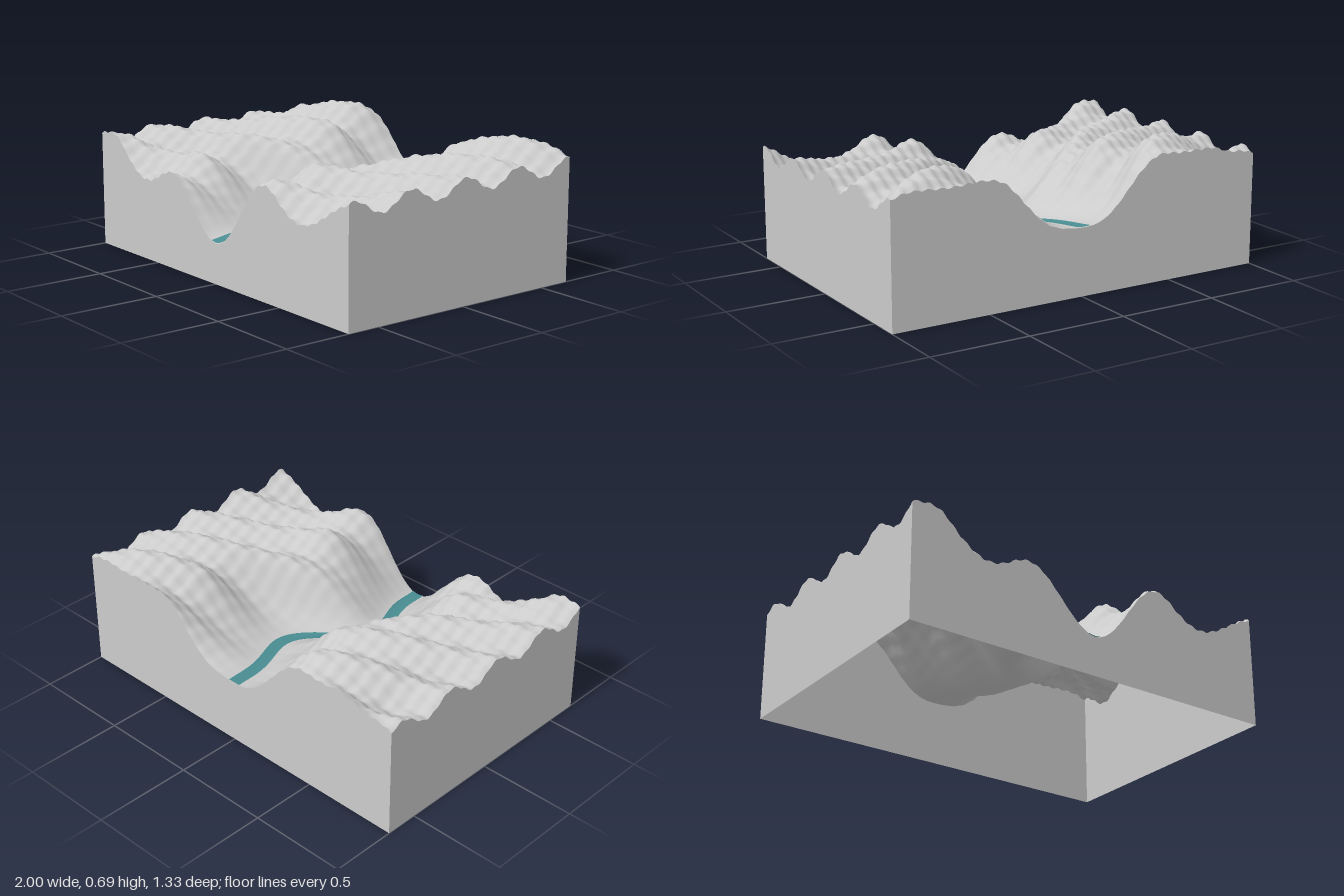
import * as THREE from 'three';

const HX = 1, HZ = 0.667, RIVER_HALF = 0.034;
const smooth = THREE.MathUtils.smoothstep;

// Meandering line of the river
const riverX = (z) => {
  const a = (Math.PI * z) / 0.6;
  return -0.096 * Math.sin(a) - 0.036 * Math.sin(2 * a);
};

// Ground height: sloping valley floor rising to rolling hills crossed by slanting ridges
function height(x, z) {
  const floor = 0.268 - 0.1 * z;
  const rise = smooth(Math.abs(x - riverX(z)), 0, 0.47);
  const t = z / HZ;
  const swell = Math.sin(5 * x - 2) * (1 - smooth(-x, 0.75, 0.95)) * (0.12 * (1 - t * t) - t);
  const ridge = Math.cos((2 * Math.PI * (z + 0.52 * x - 0.185)) / 0.325);
  const ripple = Math.sin(95 * x) + Math.sin(88 * z + 8 * x);
  const hill = 0.553 + 0.108 * swell + 0.038 * ridge + 0.005 * ripple;
  return floor + (hill - floor) * rise;
}

// Sheet whose points are given by fn(u, v): u runs left to right, v top to bottom
function sheet(name, nu, nv, material, fn) {
  const geo = new THREE.PlaneGeometry(1, 1, nu, nv);
  const pos = geo.attributes.position;
  for (let i = 0; i < pos.count; i++) {
    pos.setXYZ(i, ...fn(pos.getX(i) + 0.5, 0.5 - pos.getY(i)));
  }
  geo.computeVertexNormals();
  const mesh = new THREE.Mesh(geo, material);
  mesh.name = name;
  return mesh;
}

export function createModel() {
  const model = new THREE.Group();
  model.name = 'valleyTerrain';
  const ground = new THREE.MeshStandardMaterial({ color: 0xcccccc, side: THREE.DoubleSide });
  const water = new THREE.MeshStandardMaterial({ color: 0x4a8f94, side: THREE.DoubleSide });
  const NX = 150, NZ = 100;

  // Ground surface
  model.add(sheet('terrain', NX, NZ, ground, (u, v) => {
    const x = (2 * u - 1) * HX, z = (2 * v - 1) * HZ;
    return [x, height(x, z), z];
  }));

  // Four side walls under the ground's edge, open underneath
  const walls = [
    ['frontWall', NX, (t) => [t * HX, HZ]],
    ['backWall', NX, (t) => [-t * HX, -HZ]],
    ['leftWall', NZ, (t) => [HX, -t * HZ]],
    ['rightWall', NZ, (t) => [-HX, t * HZ]],
  ];
  for (const [name, n, edge] of walls) {
    model.add(sheet(name, n, 1, ground, (u, v) => {
      const [x, z] = edge(2 * u - 1);
      return [x, (1 - v) * height(x, z), z];
    }));
  }

  // River ribbon lying on the valley floor
  model.add(sheet('river', 6, NZ, water, (u, v) => {
    const z = (2 * v - 1) * HZ;
    const slope = (riverX(z + 0.005) - riverX(z - 0.005)) / 0.01;
    const x = riverX(z) + (2 * u - 1) * RIVER_HALF * Math.sqrt(1 + 0.3 * slope * slope);
    return [x, height(x, z) + 0.004, z];
  }));

  return model;
}
